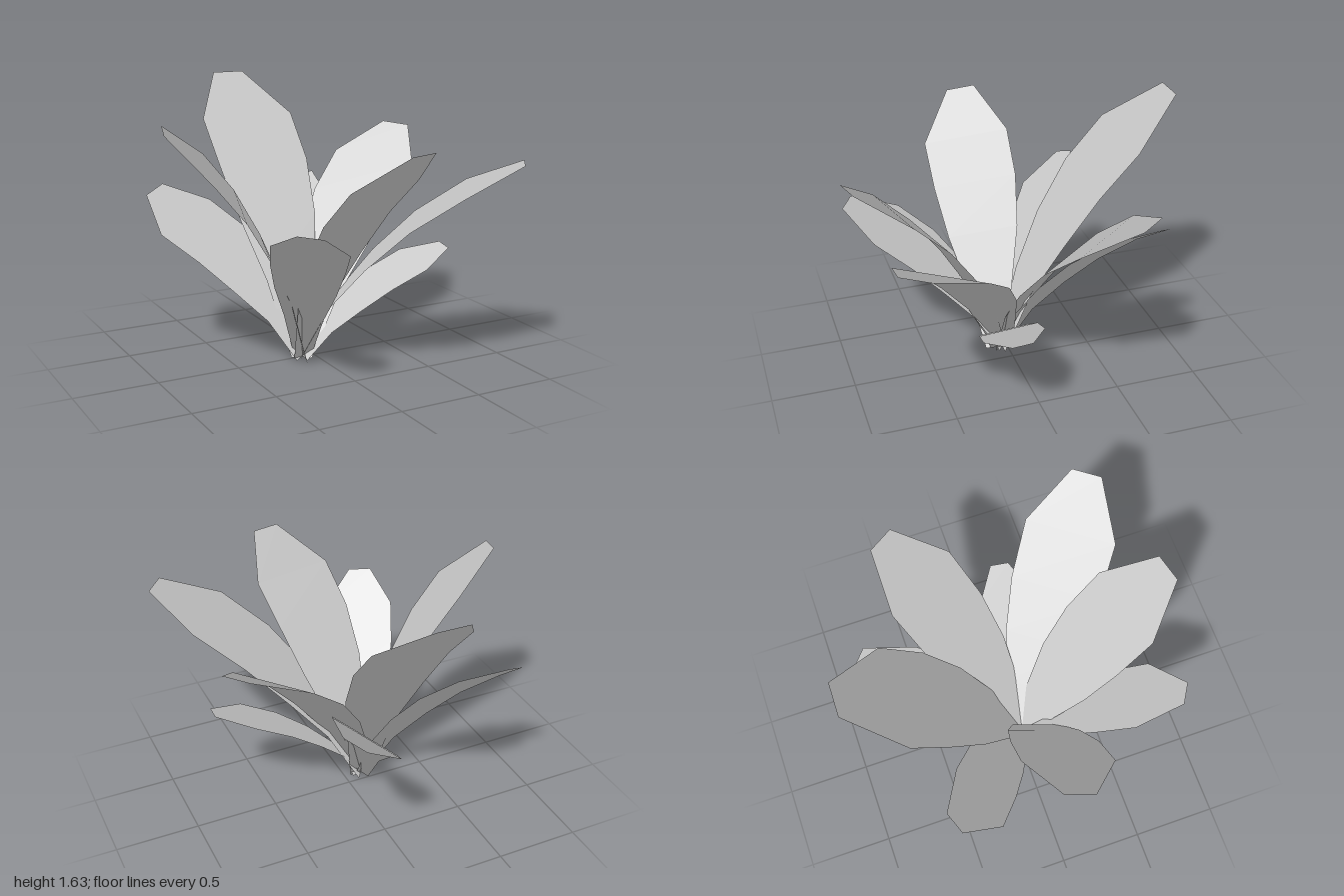
import * as THREE from 'three';

// Point where the leaves meet
const ROOT = [-0.1, 0.02, 0.04];

// Cross rows from root to widest row: [reach outward, rise, width], as fractions of the widest row
const ROWS = [
  [0, 0, 0.24],
  [0.19, 0.335, 0.54],
  [0.42, 0.585, 0.83],
  [0.685, 0.81, 0.98],
  [1, 1, 1],
];
const TIP_WIDTH = 0.33;

// Each leaf: centre of the tip edge, centre of the widest row, vector across the widest row
const LEAVES = {
  backLeaf: { tip: [-0.1, 1.63, -1], wide: [-0.1, 1.38, -0.7], across: [0.6, 0, 0.01] },
  backLeftUpperLeaf: { tip: [0.865, 1.297, -0.49], wide: [0.61, 1.12, -0.34], across: [0.3, -0.04, 0.44] },
  backLeftLowerLeaf: { tip: [0.35, 0.945, -0.825], wide: [0.19, 0.815, -0.63], across: [0.28, 0.17, 0.3] },
  leftLowLeaf: { tip: [0.795, 0.64, 0.2], wide: [0.585, 0.567, 0.18], across: [-0.03, -0.045, 0.35], root: [-0.1, 0.02, 0.07] },
  frontLeftLeaf: { tip: [0.915, 1.232, 0.797], wide: [0.655, 1.075, 0.605], across: [-0.33, -0.01, 0.45] },
  frontLeaf: { tip: [0.125, 1.37, 0.977], wide: [0.055, 1.165, 0.715], across: [-0.51, -0.01, 0.13] },
  frontRightLeaf: { tip: [-0.49, 0.985, 0.89], wide: [-0.38, 0.855, 0.678], across: [-0.36, 0.05, -0.225] },
  rightLeaf: { tip: [-0.945, 1.445, 0.045], wide: [-0.7, 1.217, 0.083], across: [0.14, 0.095, -0.495], root: [-0.1, 0.02, 0.08] },
  backRightLeaf: { tip: [-0.77, 0.99, -0.6], wide: [-0.645, 0.845, -0.415], across: [0.37, 0.15, -0.15] },
};

// One thin, arching blade: a strip of quads between cross rows, shaded evenly along its length
function leafGeometry({ tip, wide, across, root = ROOT }) {
  const base = new THREE.Vector3(...root);
  const end = new THREE.Vector3(...tip);
  const side = new THREE.Vector3(...across);
  const reach = new THREE.Vector3(...wide).sub(base);
  const normal = side.clone().cross(end.clone().sub(base)).normalize();
  const positions = [];
  const normals = [];
  const index = [];

  const addRow = (centre, width) => {
    for (const s of [-0.5, 0.5]) {
      const p = centre.clone().addScaledVector(side, s * width);
      positions.push(p.x, Math.max(p.y, 0), p.z);
      normals.push(...normal);
    }
  };
  for (const [out, rise, width] of ROWS) {
    addRow(new THREE.Vector3(out, rise, out).multiply(reach).add(base), width);
  }
  addRow(end, TIP_WIDTH);

  for (let i = 0; i < ROWS.length; i++) {
    const a = i * 2;
    index.push(a, a + 1, a + 3, a, a + 3, a + 2);
  }
  const geometry = new THREE.BufferGeometry();
  geometry.setAttribute('position', new THREE.Float32BufferAttribute(positions, 3));
  geometry.setAttribute('normal', new THREE.Float32BufferAttribute(normals, 3));
  geometry.setIndex(index);
  return geometry;
}

export function createModel() {
  const group = new THREE.Group();
  group.name = 'leafyPlant';
  const material = new THREE.MeshStandardMaterial({ color: 0xcccccc, side: THREE.DoubleSide });
  for (const [name, leaf] of Object.entries(LEAVES)) {
    const mesh = new THREE.Mesh(leafGeometry(leaf), material);
    mesh.name = name;
    group.add(mesh);
  }
  return group;
}
